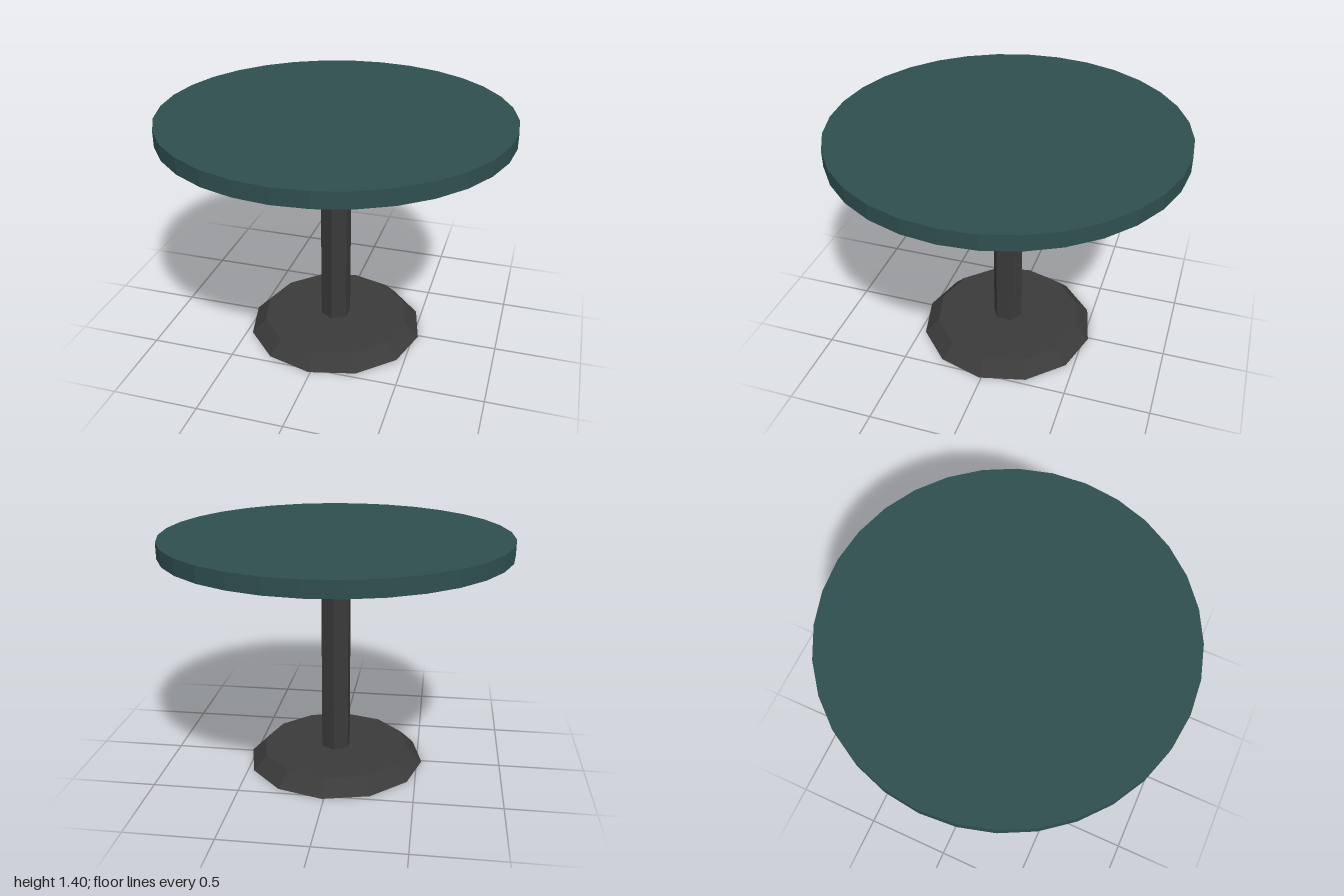
import * as THREE from 'three';

// Faceted, flat-shaded cylinder standing between two heights
function disc(name, color, rTop, rBottom, y0, y1, sides) {
  const geometry = new THREE.CylinderGeometry(rTop, rBottom, y1 - y0, sides);
  const material = new THREE.MeshStandardMaterial({ color, flatShading: true });
  const mesh = new THREE.Mesh(geometry, material);
  mesh.name = name;
  mesh.position.y = (y0 + y1) / 2;
  return mesh;
}

export function createModel() {
  const table = new THREE.Group();
  table.name = 'pedestalTable';

  const dark = 0x3a3a3a;
  const green = 0x2f4f4f;

  table.add(
    // Bevelled twelve-sided foot
    disc('base', dark, 0.445, 0.53, 0, 0.085, 12),
    // Hexagonal column
    disc('column', dark, 0.091, 0.091, 0.085, 1.31, 6),
    // Round top
    disc('tabletop', green, 1, 1, 1.31, 1.4, 32),
  );

  // Whole table is turned very slightly about its axis
  table.rotation.y = THREE.MathUtils.degToRad(-1.3);
  return table;
}
